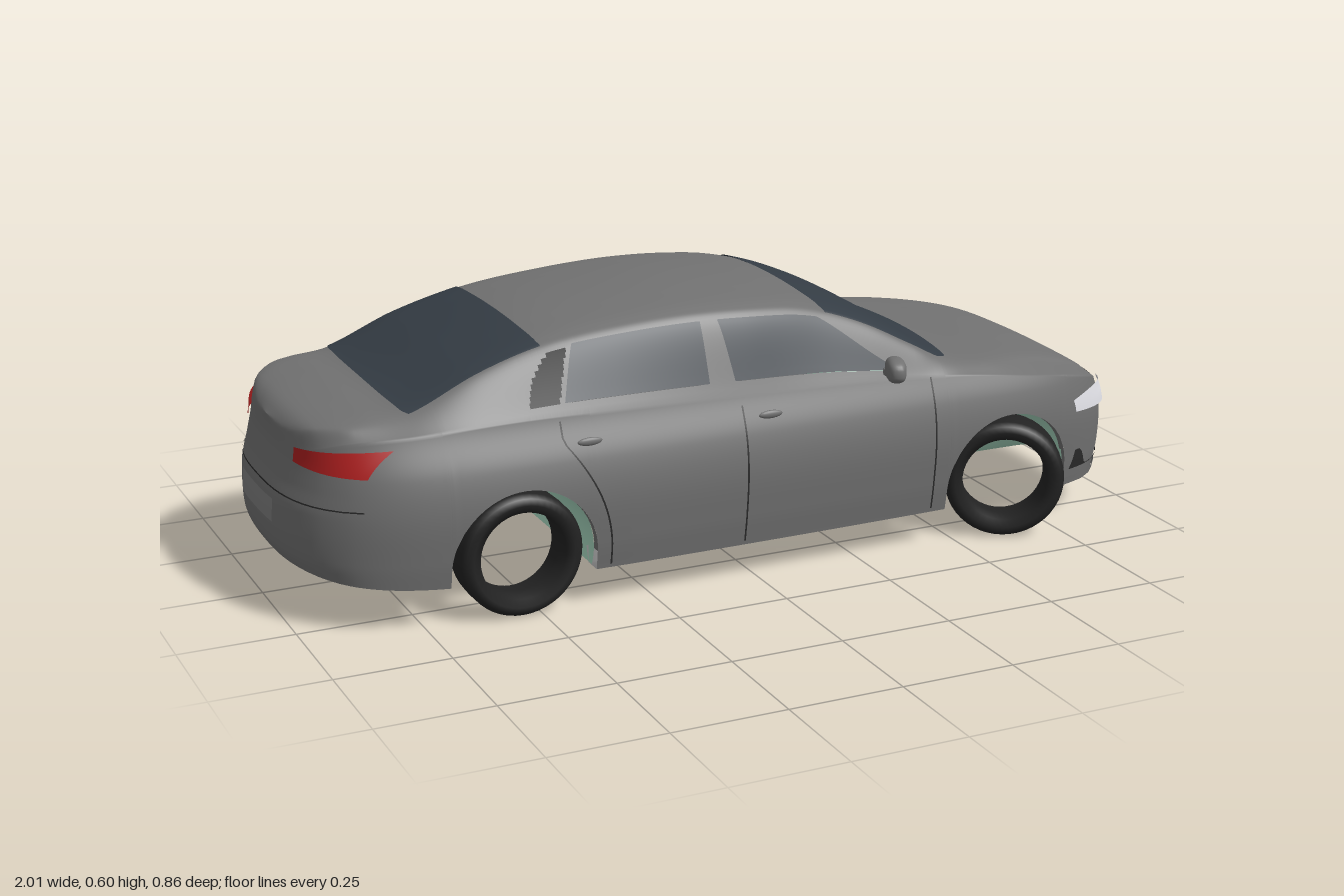
import * as THREE from 'three';

// Smooth curve through [x, y] pairs
function table(...p) {
  const slope = i => {
    const a = p[Math.max(i - 1, 0)], b = p[Math.min(i + 1, p.length - 1)];
    return (b[1] - a[1]) / (b[0] - a[0]);
  };
  return x => {
    if (x <= p[0][0]) return p[0][1];
    if (x >= p[p.length - 1][0]) return p[p.length - 1][1];
    let i = 0;
    while (x > p[i + 1][0]) i++;
    const h = p[i + 1][0] - p[i][0], t = (x - p[i][0]) / h, t2 = t * t, t3 = t2 * t;
    return (2 * t3 - 3 * t2 + 1) * p[i][1] + (t3 - 2 * t2 + t) * h * slope(i)
      + (3 * t2 - 2 * t3) * p[i + 1][1] + (t3 - t2) * h * slope(i + 1);
  };
}
const lerp = THREE.MathUtils.lerp, clamp = THREE.MathUtils.clamp;

// Heights along the car: centre line, roof rail and belt
const centreY = table([-1, .4], [-.96, .425], [-.85, .446], [-.76, .457], [-.6, .52], [-.45, .567], [-.3, .59], [-.1, .602],
  [.1, .591], [.2, .571], [.3, .536], [.4, .482], [.5, .421], [.56, .409], [.7, .396], [.8, .375], [.9, .338], [.96, .305], [1, .275]);
const railY = table([-1, .38], [-.95, .415], [-.85, .432], [-.75, .443], [-.6, .505], [-.45, .545], [-.3, .562], [-.1, .57],
  [.1, .56], [.2, .541], [.3, .505], [.4, .455], [.5, .407], [.6, .393], [.7, .378], [.8, .357], [.9, .327], [.96, .298], [1, .27]);
const beltY = table([-1, .36], [-.9, .4], [-.75, .413], [-.5, .42], [0, .41], [.3, .4], [.5, .385], [.7, .36], [.8, .345], [.9, .32], [.96, .29], [1, .262]);
const railZ = table([-1, .25], [-.77, .275], [-.45, .26], [0, .27], [.2, .268], [.5, .31], [.8, .27], [1, .2]);
// Side bulge and the rake of nose and tail by height
const bulge = table([.08, .95], [.15, .98], [.25, 1], [.33, .97], [.41, .885], [.46, .85]);
const noseRake = table([.08, .02], [.14, 0], [.22, 0], [.27, .016], [.3, .034], [.34, .042]);
const tailRake = table([.09, .03], [.15, 0], [.25, 0], [.3, .015], [.36, .028], [.45, .025]);
const rake = (x, y) => {
  const e = clamp((Math.abs(x) - .8) / .2, 0, 1) ** 2;
  return x > 0 ? x - e * noseRake(y) : x + e * tailRake(y);
};
// Rounded plan outline of each end: where it starts, its length, half width and exponents
const NOSE = { start: .5, length: .5, width: .37, p: 3.8, q: 2.4 };
const TAIL = { start: -.3, length: -.7, width: .385, p: 5.2, q: 2.7 };
const halfWidth = x => {
  const end = x > .5 ? NOSE : TAIL;
  if (x <= .5 && x >= -.3) return lerp(.385, .37, (x + .3) / .8);
  return end.width * Math.max(0, 1 - ((x - end.start) / end.length) ** end.p) ** (1 / end.q);
};
const onEnd = (end, z, y, lift) => {
  const t = (1 - Math.min(1, Math.abs(z) / (end.width * bulge(y))) ** end.q) ** (1 / end.p);
  return [rake(end.start + end.length * t, y) + Math.sign(end.length) * lift, y, z + Math.sign(z) * lift * .6];
};
const onSide = (x, y, lift) => [x, y, halfWidth(x) * bulge(y) + lift];

const AXLES = [-.54, .63], ARCH = .16;
const baseY = table([-1, .12], [-.9, .105], [-.7, .09], [-.38, .082], [.45, .08], [.8, .088], [1, .08]);
const bottomY = x => AXLES.reduce((y, c) => Math.abs(x - c) < ARCH
  ? Math.max(y, .125 + Math.sqrt(ARCH * ARCH - (x - c) ** 2)) : y, baseY(x));

// Body skin: v runs from one sill (-1) over the roof (0) to the other (1)
function skin(x, v, lift = 0) {
  const side = Math.sign(v) || 1, w = 1 - Math.abs(v), W = halfWidth(x), b = beltY(x);
  let y, z;
  if (w <= .5) {
    y = lerp(bottomY(x), b, w * 2);
    z = side * W * bulge(y);
  } else {
    const rz = Math.min(railZ(x), W * .82), ry = railY(x), cy = centreY(x);
    const half = [[W * bulge(b), b], [rz, ry], [rz * .9, lerp(ry, cy, .45)], [rz * .5, lerp(ry, cy, .85)]];
    const pts = [...half.map(([a, c]) => new THREE.Vector3(0, c, -a)), new THREE.Vector3(0, cy, 0),
      ...half.reverse().map(([a, c]) => new THREE.Vector3(0, c, a))];
    const p = new THREE.CatmullRomCurve3(pts, false, 'centripetal').getPoint(v + .5);
    y = p.y; z = p.z;
  }
  const out = new THREE.Vector2(y - .25, z).normalize().multiplyScalar(lift);
  return [rake(x, y), y + out.x, z + out.y];
}

// Window outlines: front and rear limits in x, across the car or up the door
const SCREEN = .35, wrap = v => (v / SCREEN) ** 2;
const screens = {
  windscreen: [v => .195 + .01 * wrap(v), v => .535 - .065 * wrap(v)],
  rearWindow: [v => -.77 + .02 * wrap(v), v => -.46 + .005 * wrap(v)],
};
const doorWindows = {
  frontDoorWindow: [t => lerp(-.04, -.06, t), t => lerp(.37, .18, t)],
  rearDoorWindow: [t => lerp(-.43, -.39, t), () => -.1],
};
const SILL = .48, HEAD = .385, upDoor = v => (SILL - Math.abs(v)) / (SILL - HEAD);
function isWindow(x, v) {
  const t = upDoor(v), within = (s, [a, b]) => x > a(s) + .015 && x < b(s) - .015;
  if (Math.abs(v) < SCREEN - .01) return Object.values(screens).some(s => within(v, s));
  if (t < .05 || t > .95) return false;
  const quarter = x > -.505 + .07 * t * t && x < -.44 + .04 * t;
  return quarter || Object.values(doorWindows).some(s => within(t, s));
}

// Grid surface over parameter lists, with optional holes
function sheet(us, vs, fn, hole = () => false) {
  const pos = [], idx = [], n = vs.length;
  us.forEach(u => vs.forEach(v => pos.push(...fn(u, v))));
  for (let i = 0; i < us.length - 1; i++) for (let j = 0; j < n - 1; j++) {
    if (hole((us[i] + us[i + 1]) / 2, (vs[j] + vs[j + 1]) / 2)) continue;
    const a = i * n + j, b = a + n;
    idx.push(a, a + 1, b, b, a + 1, b + 1);
  }
  const g = new THREE.BufferGeometry();
  g.setAttribute('position', new THREE.Float32BufferAttribute(pos, 3));
  g.setIndex(idx);
  g.computeVertexNormals();
  return g;
}
const range = (a, b, n) => Array.from({ length: n + 1 }, (_, i) => lerp(a, b, i / n));

export function createModel() {
  const car = new THREE.Group();
  car.name = 'car';
  const mat = color => new THREE.MeshStandardMaterial({ color, side: THREE.DoubleSide });
  const paint = mat(0x727272), glass = mat(0x353d45), rubber = mat(0x222222), dark = mat(0x2a2a2a),
    lamp = mat(0xe4e4ea), red = mat(0xb02020), green = mat(0xa8d8c0), plate = mat(0x808080);
  const add = (name, g, m) => {
    const mesh = new THREE.Mesh(g, m);
    mesh.name = name;
    car.add(mesh);
    return mesh;
  };
  const pair = (name, g, m) => {
    add(name + 'Left', g, m);
    add(name + 'Right', g, m).scale.z = -1;
  };

  // Body shell with wheel arches and window openings
  const ends = [0, .0001, .0007, .002, .005, .01, .018, .03, .045, .06, .08];
  const xs = [...ends.map(e => e - 1), ...range(-.9, .9, 120), ...range(-.512, -.398, 36), ...ends.map(e => 1 - e),
    ...AXLES.flatMap(c => [-1, 1].flatMap(s => [0, .0002, .002, .006].map(d => c + s * (ARCH - d))))].sort((a, b) => a - b);
  add('body', sheet(xs, range(-1, 1, 200), (x, v) => skin(x, v), isWindow), paint);

  // Window panes
  for (const [name, [a, b]] of Object.entries(screens)) {
    add(name, sheet(range(0, 1, 30), range(-SCREEN, SCREEN, 60), (u, v) => skin(lerp(a(v), b(v), u), v, .003)), glass);
  }
  for (const [name, [a, b]] of Object.entries(doorWindows)) {
    pair(name, sheet(range(0, 1, 30), range(SILL, HEAD, 12), (u, v) =>
      skin(lerp(a(upDoor(v)), b(upDoor(v)), u), v, .003)), glass);
  }

  // Door seams, handles, inner pillars, folded-in sills and arch lips
  for (const x of [-.035, .43]) pair('doorSeam', sheet([x, x + .004], range(.09, .39, 16), (a, y) => onSide(a, y, .0015)), dark);
  pair('rearDoorSeam', sheet([0, .004], range(.09, .41, 20), (a, y) =>
    onSide(a - .35 - .1 * clamp((y - .12) / .25, 0, 1) ** 2, y, .0015)), dark);
  for (const x of [-.39, .03]) {
    const h = new THREE.SphereGeometry(1, 16, 10).scale(.028, .009, .006);
    pair('doorHandle', h.translate(...onSide(x, .365, .002)), paint);
  }
  pair('innerPillar', sheet([-.1, -.05], range(1, .38, 24), (x, v) => skin(x, v, -.025)), paint);
  const fold = [[0, 0], [.045, 0], [.055, .035]];
  pair('sill', sheet(range(-.38, .47, 20), [0, 1, 2], (x, i) =>
    [x, baseY(x) + fold[i][1], halfWidth(x) * bulge(baseY(x)) - fold[i][0]]), paint);
  for (const c of AXLES) {
    pair('archLip', sheet(range(0, Math.PI, 32), [0, .02], (a, depth) =>
      onSide(c + ARCH * Math.cos(a), .125 + ARCH * Math.sin(a), -depth)), paint);
  }

  // Door mirrors
  const mirror = new THREE.SphereGeometry(1, 24, 16);
  const mp = mirror.attributes.position;
  for (let i = 0; i < mp.count; i++) {
    const f = c => Math.sign(c) * Math.abs(c) ** .75;
    mp.setXYZ(i, f(mp.getX(i)) * .022, f(mp.getY(i)) * .026, f(mp.getZ(i)) * .042);
  }
  mirror.computeVertexNormals();
  pair('mirror', mirror.rotateY(-.35).translate(.318, .434, .382), paint);
  pair('mirrorArm', new THREE.BoxGeometry(.025, .014, .035).translate(.33, .415, .345), paint);

  // Patch between two heights wrapped round the nose or tail
  const patch = (end, z0, z1, y0, y1, lift) => sheet(range(0, 1, 24), range(0, 1, 8), (u, t) =>
    onEnd(end, lerp(z0, z1, u), lerp(y0(u), y1(u), t), lift));
  const flat = y => () => y;

  // Nose: lamps, grille seams, lower grille and corner intakes
  pair('headlamp', patch(NOSE, .21, .346, u => lerp(.243, .262, u), u => lerp(.298, .315, u) - .025 * u ** 6, .008), lamp);
  for (const y of [.238, .258, .283]) add('grilleSeam', patch(NOSE, -.2, .2, flat(y), flat(y + .0025), .003), dark);
  add('lowerGrilleFrame', patch(NOSE, -.2, .2, flat(.113), flat(.175), .002), dark);
  add('lowerGrille', patch(NOSE, -.195, .195, flat(.118), flat(.171), .004), plate);
  pair('cornerIntake', patch(NOSE, .2, .335, u => lerp(.113, .12, u), u => .12 + .045 * clamp((u - .82) / .12, 0, 1), .002), dark);
  add('bumperLip', patch(NOSE, -.335, .335, flat(.082), flat(.1), .003), paint);

  // Tail: lamps, plate recess and bumper seam
  pair('tailLamp', patch(TAIL, .165, .325, u => lerp(.345, .338, u), u => lerp(.375, .392, u), .005), red);
  add('numberPlateRecess', patch(TAIL, -.11, .11, flat(.2), flat(.25), .003), plate);
  add('rearBumperSeam', patch(TAIL, -.33, .33, flat(.268), flat(.271), .002), dark);

  // Tyres, the front pair steered
  const profile = [[.095, -.042], [.112, -.05], [.126, -.046], [.134, -.034], [.135, 0],
    [.134, .034], [.126, .046], [.112, .05], [.095, .042], [.092, 0], [.095, -.042]];
  const tyre = new THREE.LatheGeometry(profile.map(p => new THREE.Vector2(...p)), 48).rotateX(Math.PI / 2);
  for (const s of [-1, 1]) {
    add('rearTyre', tyre, rubber).position.set(AXLES[0], .135, s * .318);
    const front = add('frontTyre', tyre, rubber);
    front.position.set(AXLES[1], .135, s * .335);
    front.rotation.y = -.45;
  }

  // Wheel-arch liners across the underside
  add('frontLiner', sheet(range(0, Math.PI, 24), range(-1, 1, 40), (a, s) => {
    const x = AXLES[1] + .158 * Math.cos(a), rise = THREE.MathUtils.smoothstep(Math.abs(s), .5, .9);
    return [x, .135 + .15 * Math.sin(a) * rise, s * .95 * halfWidth(x)];
  }), green);
  add('rearLiner', sheet(range(-.25, 1.2, 16), [-.34, 0, .34], (a, z) =>
    [AXLES[0] + .165 * Math.cos(a), .125 + .165 * Math.sin(a), z]), green);
  return car;
}
